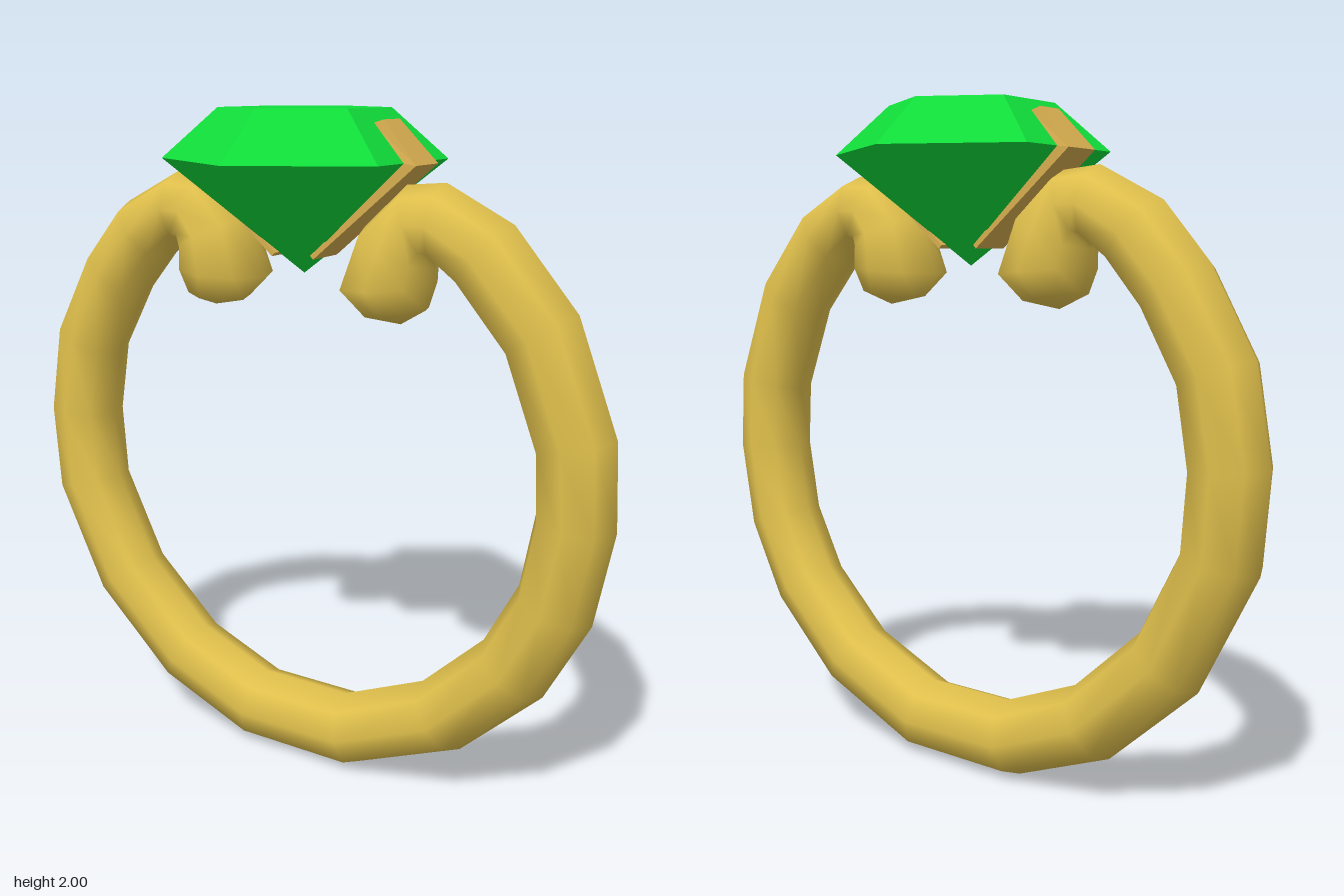
import * as THREE from 'three';

const SIDES = 8;

// Curled end as rings: outer x, outer y, inner x, inner y, half depth
const CURL = [
  [0.22, 1.435, 0.395, 1.46, 0.105],
  [0.14, 1.51, 0.42, 1.53, 0.148],
  [0.2, 1.68, 0.42, 1.58, 0.13],
  [0.33, 1.8, 0.42, 1.6, 0.115],
  [0.45, 1.81, 0.43, 1.595, 0.115],
];

// Outer outline of the hoop, from the left shoulder under to the right one
const HOOP = [
  [0.65, 1.71], [0.84, 1.49], [0.965, 1.17], [0.98, 0.92], [0.93, 0.64], [0.8, 0.39], [0.55, 0.15], [0.2, 0],
  [-0.19, 0], [-0.51, 0.13], [-0.79, 0.39], [-0.96, 0.74], [-0.98, 1.02], [-0.93, 1.3], [-0.79, 1.55], [-0.65, 1.71],
];

function bandGeometry() {
  const hoop = HOOP.map(([x, y]) => {
    // inner point lies one tube width towards the centre
    const k = 0.23 / Math.hypot(x, y - 0.96);
    return [x, y, x - x * k, y - (y - 0.96) * k, 0.115];
  });
  const mirrored = CURL.map(([ox, oy, ix, iy, d]) => [-ox, oy, -ix, iy, d]).reverse();
  const rings = [...CURL, ...hoop, ...mirrored];

  const pos = [], index = [];
  for (const [ox, oy, ix, iy, d] of rings) {
    for (let j = 0; j < SIDES; j++) {
      const a = (j / SIDES) * Math.PI * 2, c = Math.cos(a) / 2;
      pos.push((ox + ix) / 2 + (ox - ix) * c, (oy + iy) / 2 + (oy - iy) * c, d * Math.sin(a));
    }
  }
  for (let i = 0; i < rings.length - 1; i++) {
    for (let j = 0; j < SIDES; j++) {
      const k = (j + 1) % SIDES;
      const p = i * SIDES + j, p1 = i * SIDES + k;
      index.push(p, p1, p + SIDES, p1, p1 + SIDES, p + SIDES);
    }
  }
  // rounded caps on both curls
  const start = pos.length / 3, last = (rings.length - 1) * SIDES;
  pos.push(0.32, 1.415, 0, -0.32, 1.415, 0);
  for (let j = 0; j < SIDES; j++) {
    const k = (j + 1) % SIDES;
    index.push(start, k, j, start + 1, last + j, last + k);
  }
  const geo = new THREE.BufferGeometry();
  geo.setAttribute('position', new THREE.Float32BufferAttribute(pos, 3));
  geo.setIndex(index);
  geo.computeVertexNormals();
  return geo;
}

// Bent strip that hugs the stone's side and narrows at the tip
function clawGeometry() {
  const shape = new THREE.Shape([
    [0.07, 1.585], [0.39, 1.855], [0.28, 1.972], [0.245, 1.962], [0.35, 1.86], [0.06, 1.595],
  ].map(([x, y]) => new THREE.Vector2(x, y)));
  const geo = new THREE.ExtrudeGeometry(shape, { depth: 0.13, bevelEnabled: false });
  geo.translate(0, 0, -0.065);
  const p = geo.attributes.position;
  for (let i = 0; i < p.count; i++) if (p.getY(i) > 1.9) p.setZ(i, p.getZ(i) * 0.68);
  geo.computeVertexNormals();
  return geo;
}

export function createModel() {
  const group = new THREE.Group();
  const gold = new THREE.MeshStandardMaterial({ color: 0xe0c04c });
  gold.name = 'gold';
  const paleGold = new THREE.MeshStandardMaterial({ color: 0xd8ae50 });
  paleGold.name = 'claw gold';
  const green = new THREE.MeshStandardMaterial({ color: 0x10dd3a });
  green.name = 'emerald green';

  const add = (name, geo, mat, parent = group) => {
    const mesh = new THREE.Mesh(geo, mat);
    mesh.name = name;
    parent.add(mesh);
    return mesh;
  };

  add('band', bandGeometry(), gold);

  // Stone: hexagonal crown over a pointed base
  const stone = new THREE.Group();
  stone.name = 'stone';
  group.add(stone);
  const facets = (top, bottom, h, open) => new THREE.CylinderGeometry(top, bottom, h, 6, 1, open).toNonIndexed();
  const crown = facets(0.245, 0.407, 0.14, false);
  const base = facets(0.407, 0, 0.325, true);
  for (const g of [crown, base]) g.computeVertexNormals();
  add('stoneCrown', crown, green, stone).position.y = 1.93;
  add('stoneBase', base, green, stone).position.y = 1.6975;

  // One claw on each side
  const claw = clawGeometry();
  add('leftClaw', claw, paleGold);
  add('rightClaw', claw, paleGold).rotation.y = Math.PI;

  return group;
}
